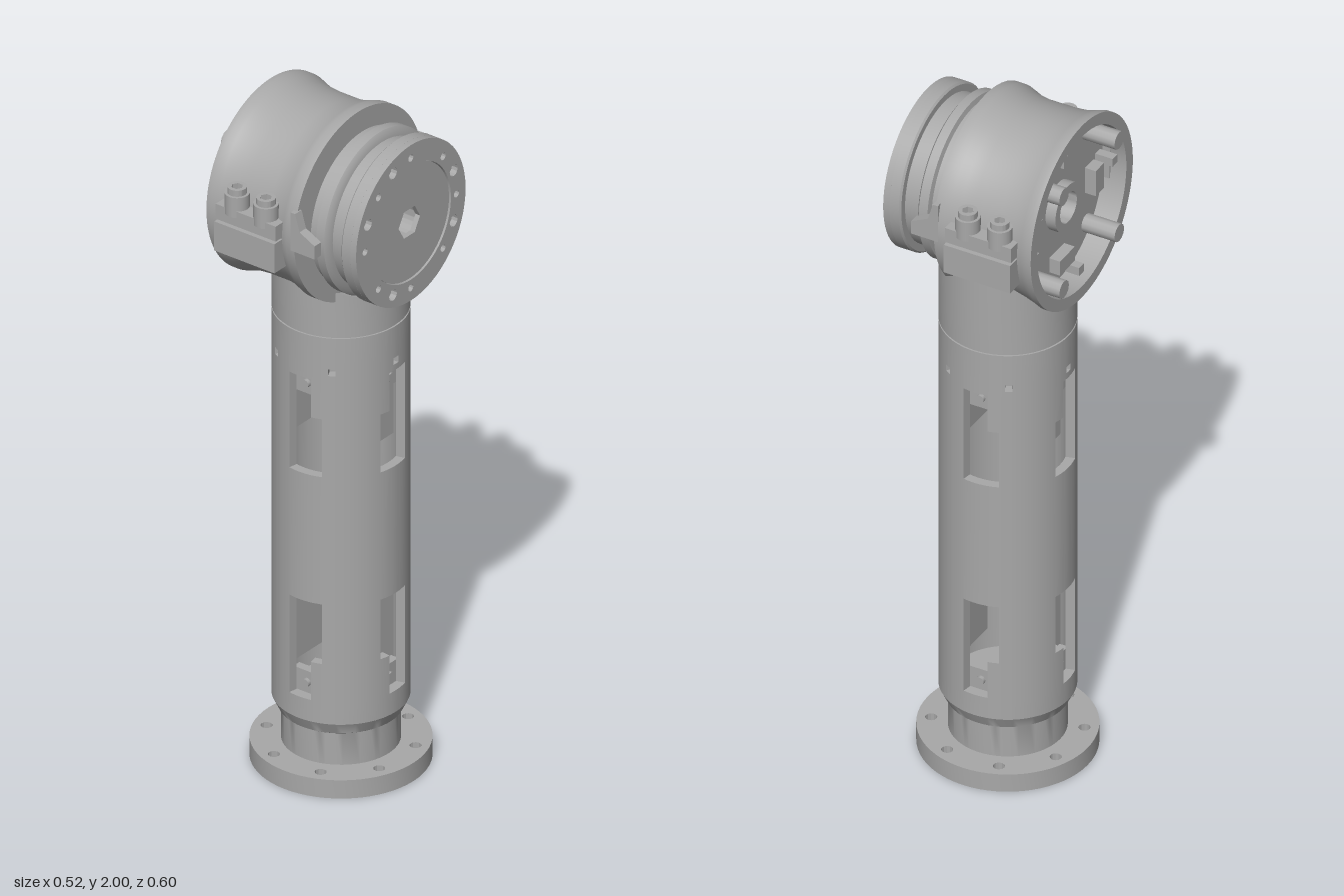
import * as THREE from 'three';
import { toCreasedNormals } from 'three/addons/utils/BufferGeometryUtils.js';

const grey = new THREE.MeshStandardMaterial({ color: 0xa8a8a8 });
grey.name = 'machined grey';

function add(parent, name, geo, x = 0, y = 0, z = 0) {
  const mesh = new THREE.Mesh(geo, grey);
  mesh.name = name;
  mesh.position.set(x, y, z);
  parent.add(mesh);
  return mesh;
}

// Turned part; profile is [radius, height], outer side running upwards
function turned(profile, segments = 64) {
  const pts = profile.map(([r, y]) => new THREE.Vector2(r, y));
  return toCreasedNormals(new THREE.LatheGeometry(pts, segments), 0.5);
}

// Round plate along z with holes given as [x, y, radius, sides, turn]
function plate(radius, depth, holes) {
  const ring = (x, y, r, n, turn = 0) => Array.from({ length: n }, (_, i) => {
    const a = turn + (i / n) * Math.PI * 2;
    return new THREE.Vector2(x + r * Math.cos(a), y + r * Math.sin(a));
  });
  const shape = new THREE.Shape(ring(0, 0, radius, 64));
  for (const h of holes) shape.holes.push(new THREE.Path(ring(...h)));
  const geo = new THREE.ExtrudeGeometry(shape, { depth, bevelEnabled: false });
  return toCreasedNormals(geo, 0.5);
}

function circleOf(n, dist, r, sides = 12, start = 0) {
  return Array.from({ length: n }, (_, i) => {
    const a = start + (i / n) * Math.PI * 2;
    return [dist * Math.cos(a), dist * Math.sin(a), r, sides, 0];
  });
}

// Thick tube with openings [angle0, angle1, y0, y1]; angle 0 faces +z
function cutTube(ro, ri, y0, y1, openings) {
  const start = -0.7, end = start + Math.PI * 2, n = 64;
  const unique = (list) => list.sort((a, b) => a - b).filter((v, i) => !i || v - list[i - 1] > 1e-5);
  const ts = unique([...Array.from({ length: n + 1 }, (_, i) => start + (end - start) * i / n),
    ...openings.flatMap((o) => [o[0], o[1]])]);
  const ys = unique([y0, y1, ...openings.flatMap((o) => [o[2], o[3]])]);
  const nt = ts.length - 1, ny = ys.length - 1;
  const solid = (i, j) => {
    if (j < 0 || j >= ny) return false;
    i = (i + nt) % nt;
    const t = (ts[i] + ts[i + 1]) / 2, y = (ys[j] + ys[j + 1]) / 2;
    return !openings.some((o) => t > o[0] && t < o[1] && y > o[2] && y < o[3]);
  };
  const pos = [];
  const quad = (a, b, c, d) => pos.push(...a, ...b, ...c, ...a, ...c, ...d);
  for (let i = 0; i < nt; i++) for (let j = 0; j < ny; j++) {
    if (!solid(i, j)) continue;
    const p = (r, di, dj) => [r * Math.sin(ts[i + di]), ys[j + dj], r * Math.cos(ts[i + di])];
    const [a, b, c, d] = [p(ro, 0, 0), p(ro, 1, 0), p(ro, 1, 1), p(ro, 0, 1)];
    const [e, f, g, h] = [p(ri, 0, 0), p(ri, 1, 0), p(ri, 1, 1), p(ri, 0, 1)];
    quad(a, b, c, d);
    quad(f, e, h, g);
    if (!solid(i + 1, j)) quad(b, f, g, c);
    if (!solid(i - 1, j)) quad(e, a, d, h);
    if (!solid(i, j + 1)) quad(d, c, g, h);
    if (!solid(i, j - 1)) quad(e, f, b, a);
  }
  const geo = new THREE.BufferGeometry();
  geo.setAttribute('position', new THREE.Float32BufferAttribute(pos, 3));
  return toCreasedNormals(geo, 0.5);
}

function makeColumn() {
  const column = new THREE.Group();
  column.name = 'column';
  column.position.set(-0.018, 0, -0.055);

  // Mounting flange and collar
  const flange = plate(0.241, 0.055, [[0, 0, 0.068, 32], ...circleOf(6, 0.118, 0.028, 6),
    ...circleOf(8, 0.203, 0.016, 12, Math.PI / 8)]).rotateX(-Math.PI / 2);
  add(column, 'mountingFlange', flange);
  add(column, 'baseCollar', turned([[0, 0.045], [0.158, 0.045], [0.158, 0.15], [0.166, 0.155],
    [0.183, 0.19], [0, 0.19]]));

  // Main tube with stepped windows on four sides and a ring of screw holes
  const openings = [];
  for (let k = 0; k < 4; k++) {
    const c = k * Math.PI / 2;
    const wide = k % 2 ? [c - 0.307, c + 0.25] : [c - 0.177, c + 0.383];
    const slim = k % 2 ? [c - 0.138, c + 0.25] : [c - 0.177, c + 0.21];
    openings.push([...wide, 0.935, 1.11], [...slim, 1.11, 1.225],
      [...wide, 0.37, 0.55], [...slim, 0.255, 0.37]);
  }
  for (let k = -1; k < 5; k++) {
    const c = Math.PI / 6 + k * Math.PI / 3;
    openings.push([c - 0.055, c + 0.055, 1.243, 1.263]);
  }
  add(column, 'mainTube', cutTube(0.183, 0.157, 0.19, 1.357, openings));
  add(column, 'seamSleeve', new THREE.CylinderGeometry(0.178, 0.178, 0.04, 64), 0, 1.36, 0);

  // Brackets inside the windows
  for (let k = 0; k < 4; k++) {
    const bracket = new THREE.Group();
    bracket.name = 'windowBracket';
    bracket.rotation.y = k * Math.PI / 2;
    column.add(bracket);
    for (const y of [0.287, 1.192]) {
      add(bracket, 'bracketTab', new THREE.BoxGeometry(0.09, 0.065, 0.025), 0.005, y, 0.14);
      add(bracket, 'bracketScrew', new THREE.CylinderGeometry(0.012, 0.012, 0.012, 12)
        .rotateX(Math.PI / 2), 0.006, y, 0.157);
    }
    if (k % 2) for (const y of [0.39, 1.09])
      add(bracket, 'innerPlate', new THREE.BoxGeometry(0.14, 0.22, 0.02), 0, y, 0.11);
  }

  // Saddle that meets the round head
  const top = 1.6;
  const saddle = new THREE.LatheGeometry([[0.183, 1.362], [0.183, 1.43], [0.183, top], [0.15, top],
    [0.11, top], [0.06, top], [0, top]].map(([r, y]) => new THREE.Vector2(r, y)), 64);
  const p = saddle.attributes.position;
  for (let i = 0; i < p.count; i++) {
    const z = p.getZ(i) - 0.055;
    if (p.getY(i) > 1.5) p.setY(i, 1.725 - Math.sqrt(0.25 ** 2 - z * z));
  }
  add(column, 'saddle', toCreasedNormals(saddle, 0.6));
  return column;
}

function makeHead() {
  const head = new THREE.Group();
  head.name = 'jointHead';
  head.position.y = 1.725;
  const alongX = (geo) => geo.rotateZ(-Math.PI / 2);

  // Waisted housing with an open recess on its right side
  add(head, 'housing', alongX(turned([[0.045, -0.14], [0.24, -0.14], [0.24, -0.21], [0.275, -0.21],
    [0.275, -0.195], [0.268, -0.175], [0.26, -0.145], [0.256, -0.1], [0.256, -0.02], [0.261, 0.015],
    [0.27, 0.04], [0.275, 0.055], [0.275, 0.082], [0.045, 0.082], [0.045, -0.14]], 96)));

  // Stepped output drive
  add(head, 'outputDrive', alongX(turned([[0.045, 0.078], [0.2, 0.078], [0.2, 0.095], [0.22, 0.095],
    [0.22, 0.12], [0.235, 0.124], [0.235, 0.15], [0.225, 0.157], [0.21, 0.16], [0.21, 0.205],
    [0.23, 0.205], [0.235, 0.21], [0.235, 0.238], [0.045, 0.238], [0.045, 0.078]], 96)));
  const bolts = [...circleOf(8, 0.196, 0.011), ...circleOf(8, 0.199, 0.017, 12, Math.PI / 8)
    .filter((_, i) => i !== 1 && i !== 4 && i !== 6)];
  add(head, 'outputRing', plate(0.235, 0.02, [[0, 0, 0.172, 64], ...bolts]).rotateY(Math.PI / 2), 0.237);
  add(head, 'outputCentre', plate(0.17, 0.015, [[0, 0, 0.046, 6]]).rotateY(Math.PI / 2), 0.237);

  // Recess fittings
  add(head, 'centreBoss', alongX(turned([[0.045, -0.17], [0.07, -0.17], [0.07, -0.135],
    [0.045, -0.135], [0.045, -0.17]], 32)));
  for (let k = 0; k < 4; k++) {
    const a = Math.PI / 4 + k * Math.PI / 2, c = Math.cos(a) * 0.21, s = Math.sin(a) * 0.21;
    add(head, 'recessPost', alongX(new THREE.CylinderGeometry(0.026, 0.026, 0.1, 12)), -0.19, s, c);
    const fitting = new THREE.Group();
    fitting.name = 'recessFitting';
    fitting.rotation.x = k * Math.PI / 2;
    head.add(fitting);
    add(fitting, 'fittingBlock', new THREE.BoxGeometry(0.035, 0.045, 0.08), -0.155, 0.165, 0.01);
    add(fitting, 'fittingPin', new THREE.BoxGeometry(0.055, 0.025, 0.025), -0.165, 0.21, -0.03);
  }

  // Clamp ears with bolts, and side lips next to the drive
  for (const side of [1, -1]) {
    const clamp = new THREE.Group();
    clamp.name = side > 0 ? 'frontClamp' : 'backClamp';
    head.add(clamp);
    add(clamp, 'lowerEar', new THREE.BoxGeometry(0.2, 0.088, 0.068), -0.063, -0.05, side * 0.268);
    add(clamp, 'upperEar', new THREE.BoxGeometry(0.2, 0.045, 0.06), -0.063, 0.022, side * 0.266);
    for (const x of [-0.113, -0.017]) {
      add(clamp, 'boltBoss', new THREE.CylinderGeometry(0.034, 0.034, 0.06, 20), x, 0.055, side * 0.268);
      const bolt = plate(0.026, 0.02, [[0, 0, 0.016, 6]]).rotateX(-Math.PI / 2);
      add(clamp, 'clampBolt', bolt, x, 0.083, side * 0.268);
    }
    const lip = new THREE.Shape([[0.07, -0.025], [0.15, -0.025], [0.15, 0.015], [0.1, 0.04],
      [0.085, 0.09], [0.07, 0.09]].map(([x, y]) => new THREE.Vector2(x, y)));
    add(head, 'sideLip', new THREE.ExtrudeGeometry(lip, { depth: 0.028, bevelEnabled: false }),
      0, 0, side > 0 ? 0.247 : -0.275);
  }
  return head;
}

export function createModel() {
  const model = new THREE.Group();
  model.name = 'robotArmJoint';
  model.add(makeColumn(), makeHead());
  return model;
}
